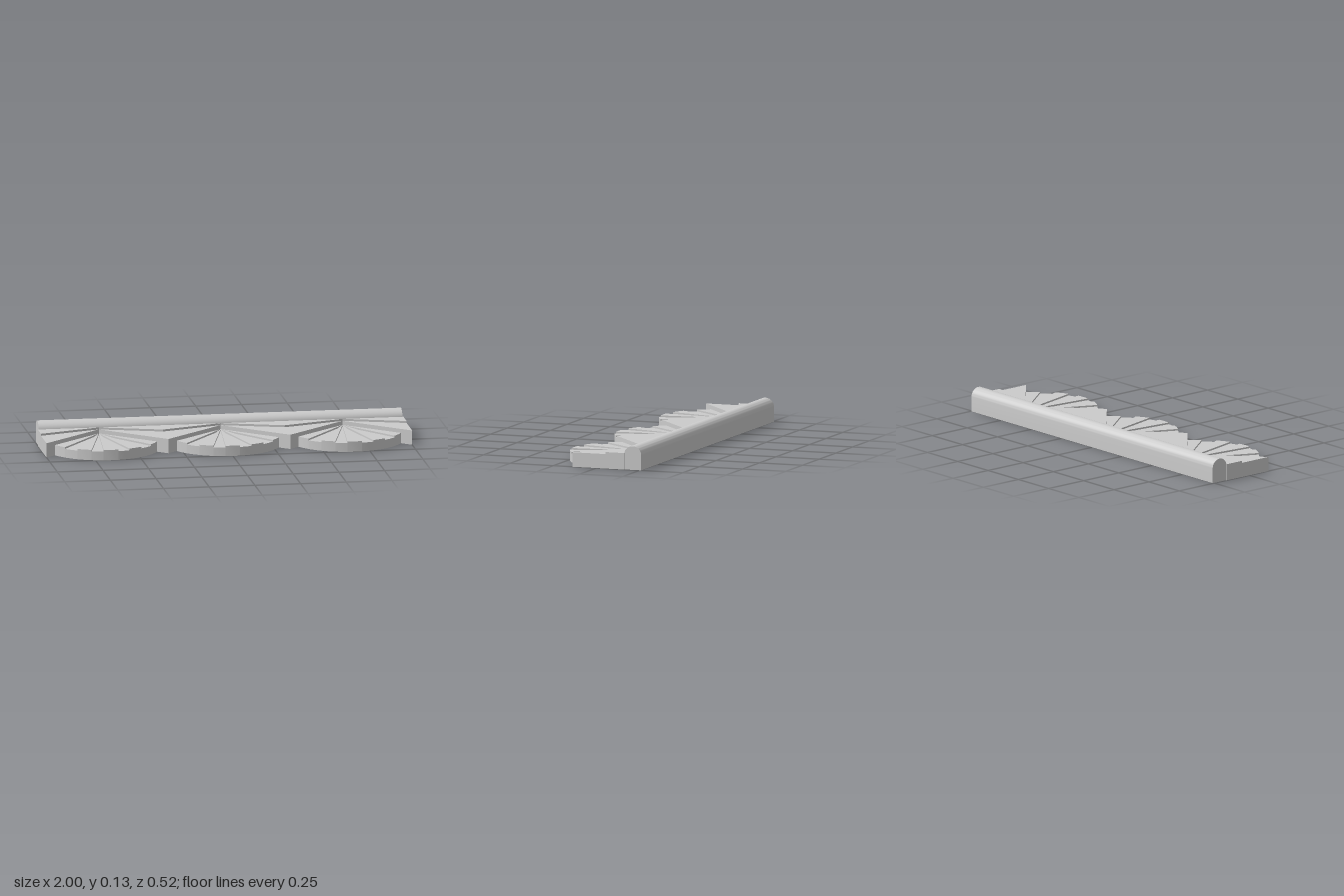
import * as THREE from 'three';
import { toCreasedNormals } from 'three/addons/utils/BufferGeometryUtils.js';

const APEX_Z = -0.159; // where each fan's rays meet, at the rail
const PITCH = 2 / 3; // spacing of the fans
const TIP_Z = 0.137; // tips of the plate between fans
const RIM_RADIUS = 0.315;
const RIM_OFFSET = 0.103; // rim centre in front of the apex

const material = new THREE.MeshStandardMaterial({ color: 0xcccccc });

// Upright slab from an [x, z] outline between two heights
function slab(name, outline, bottom, top) {
  const shape = new THREE.Shape(outline.map(([x, z]) => new THREE.Vector2(x, -z)));
  const geometry = new THREE.ExtrudeGeometry(shape, { depth: top - bottom, bevelEnabled: false });
  geometry.rotateX(-Math.PI / 2).translate(0, bottom, 0);
  const mesh = new THREE.Mesh(toCreasedNormals(geometry, 0.5), material);
  mesh.name = name;
  return mesh;
}

// Strip along the rail whose front edge zigzags from the apexes out to tipZ
function zigzag(tipZ) {
  const outline = [[1, -0.16], [-1, -0.16]];
  for (let i = 0; i <= 6; i++) {
    outline.push([-1 + i * PITCH / 2, i % 2 ? APEX_Z : tipZ]);
  }
  return outline;
}

// Point on the fan's rim at an angle from straight ahead
function rimPoint(angle) {
  const t = RIM_OFFSET * Math.cos(angle)
    + Math.sqrt(RIM_RADIUS ** 2 - (RIM_OFFSET * Math.sin(angle)) ** 2);
  return [t * Math.sin(angle), APEX_Z + t * Math.cos(angle)];
}

// Fan of nine wedges, alternately raised and sunken
function makeFan() {
  const fan = new THREE.Group();
  fan.name = 'shellFan';
  const edge = Math.atan2(PITCH / 2, TIP_Z - APEX_Z);
  const half = [5.5, 14.5, 25.5, 37].map(THREE.MathUtils.degToRad).concat(edge);
  const angles = [...half.map((a) => -a).reverse(), ...half];
  for (let i = 0; i < angles.length - 1; i++) {
    const outline = [[0, APEX_Z]];
    for (let k = 0; k <= 2; k++) {
      outline.push(rimPoint(THREE.MathUtils.lerp(angles[i], angles[i + 1], k / 2)));
    }
    const raised = i % 2 === 0;
    fan.add(slab(raised ? 'raisedRay' : 'sunkenRay', outline, 0, raised ? 0.057 : 0.048));
  }
  return fan;
}

// Round-topped rail along the back
function makeRail() {
  const profile = new THREE.Shape();
  profile.moveTo(0.159, 0);
  profile.lineTo(0.257, 0);
  profile.lineTo(0.257, 0.083);
  profile.absellipse(0.208, 0.083, 0.049, 0.046, 0, Math.PI, false);
  const length = 1.99;
  const geometry = new THREE.ExtrudeGeometry(profile, { depth: length, bevelEnabled: false, curveSegments: 10 });
  // Lay the length along x, with the profile at the back
  geometry.translate(0, 0, -length / 2).rotateY(Math.PI / 2);
  const rail = new THREE.Mesh(toCreasedNormals(geometry, 0.7), material);
  rail.name = 'backRail';
  return rail;
}

export function createModel() {
  const model = new THREE.Group();
  model.name = 'shellMoulding';
  model.add(makeRail());

  // Two-step backing plate
  model.add(slab('lowerPlate', zigzag(TIP_Z), 0, 0.079));
  model.add(slab('upperPlate', zigzag(-0.052), 0.079, 0.09));

  for (let i = -1; i <= 1; i++) {
    const fan = makeFan();
    fan.position.x = i * PITCH;
    model.add(fan);
  }
  return model;
}
